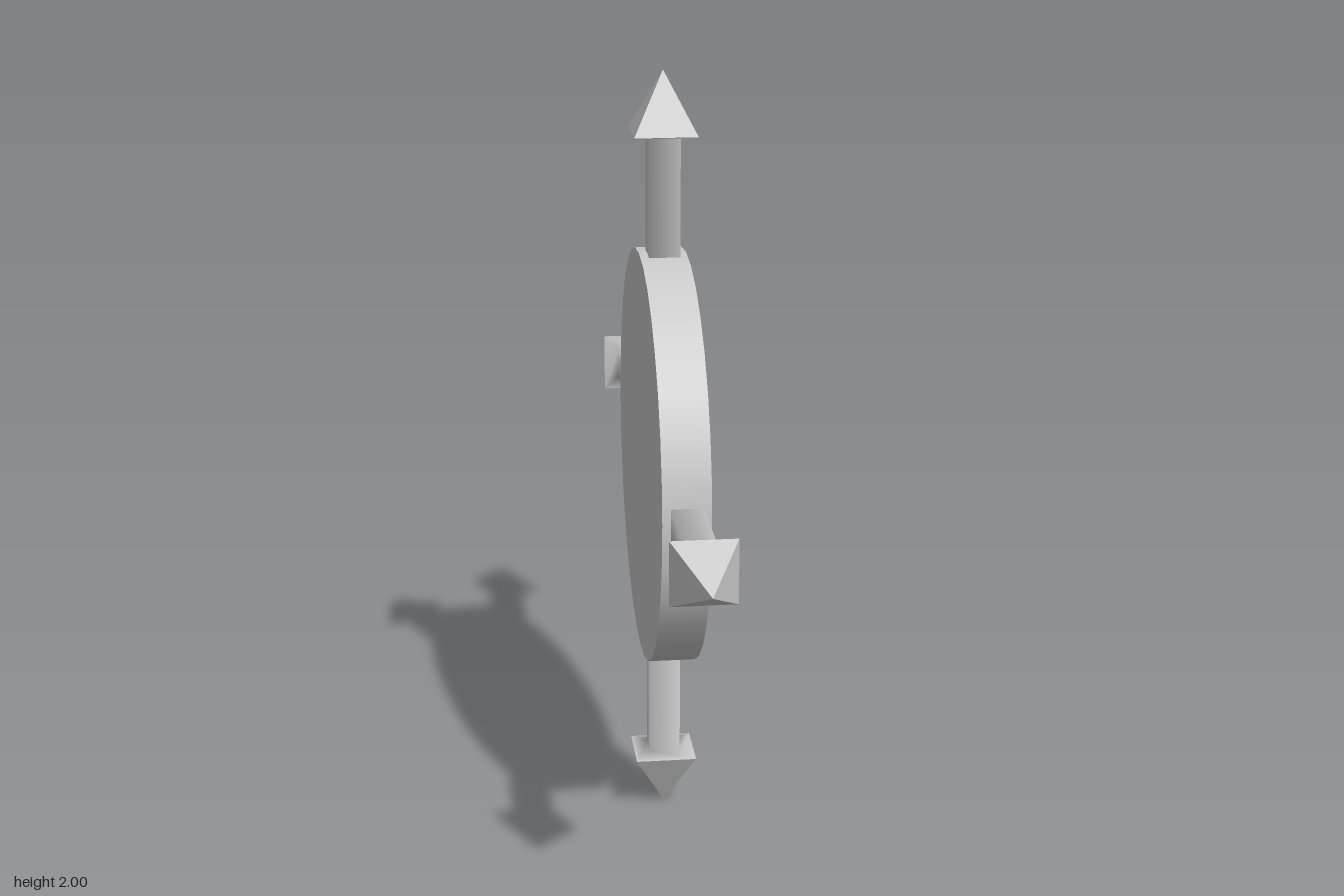
import * as THREE from 'three';

const AXIS_X = -0.0135; // the arms sit slightly off x = 0, balancing the boss

export function createModel() {
  const group = new THREE.Group();
  const smooth = new THREE.MeshStandardMaterial({ color: 0xcccccc });
  const faceted = new THREE.MeshStandardMaterial({ color: 0xcccccc, flatShading: true });

  const add = (parent, name, geometry, material) => {
    const mesh = new THREE.Mesh(geometry, material);
    mesh.name = name;
    parent.add(mesh);
    return mesh;
  };

  // Flat wheel facing +x
  const disc = add(group, 'disc', new THREE.CylinderGeometry(0.537, 0.537, 0.12, 32), smooth);
  disc.rotation.z = -Math.PI / 2;
  disc.position.set(-0.015, 1, 0);

  // Round boss on the +x face only
  const boss = add(group, 'centreBoss', new THREE.SphereGeometry(0.05, 24, 16), smooth);
  boss.position.set(0.042, 1, 0);

  // Square shaft flaring into the underside of the arrowhead, shaded smooth
  const corner = Math.SQRT2;
  const shaftGeometry = new THREE.LatheGeometry([
    new THREE.Vector2(0, 0.5),
    new THREE.Vector2(0.04 * corner, 0.5),
    new THREE.Vector2(0.04 * corner, 0.834),
    new THREE.Vector2(0.08 * corner, 0.845),
  ], 4).rotateY(Math.PI / 4);

  // Square pyramid tip
  const headGeometry = new THREE.ConeGeometry(0.08 * corner, 0.155, 4, 1, true)
    .rotateY(Math.PI / 4)
    .translate(0, 0.845 + 0.155 / 2, 0);

  // Four arms around the x axis
  ['top', 'front', 'bottom', 'back'].forEach((side, i) => {
    const arm = new THREE.Group();
    arm.name = side + 'Arm';
    add(arm, side + 'Shaft', shaftGeometry, smooth);
    add(arm, side + 'Arrowhead', headGeometry, faceted);
    arm.rotation.x = i * Math.PI / 2;
    arm.position.set(AXIS_X, 1, 0);
    group.add(arm);
  });

  return group;
}
